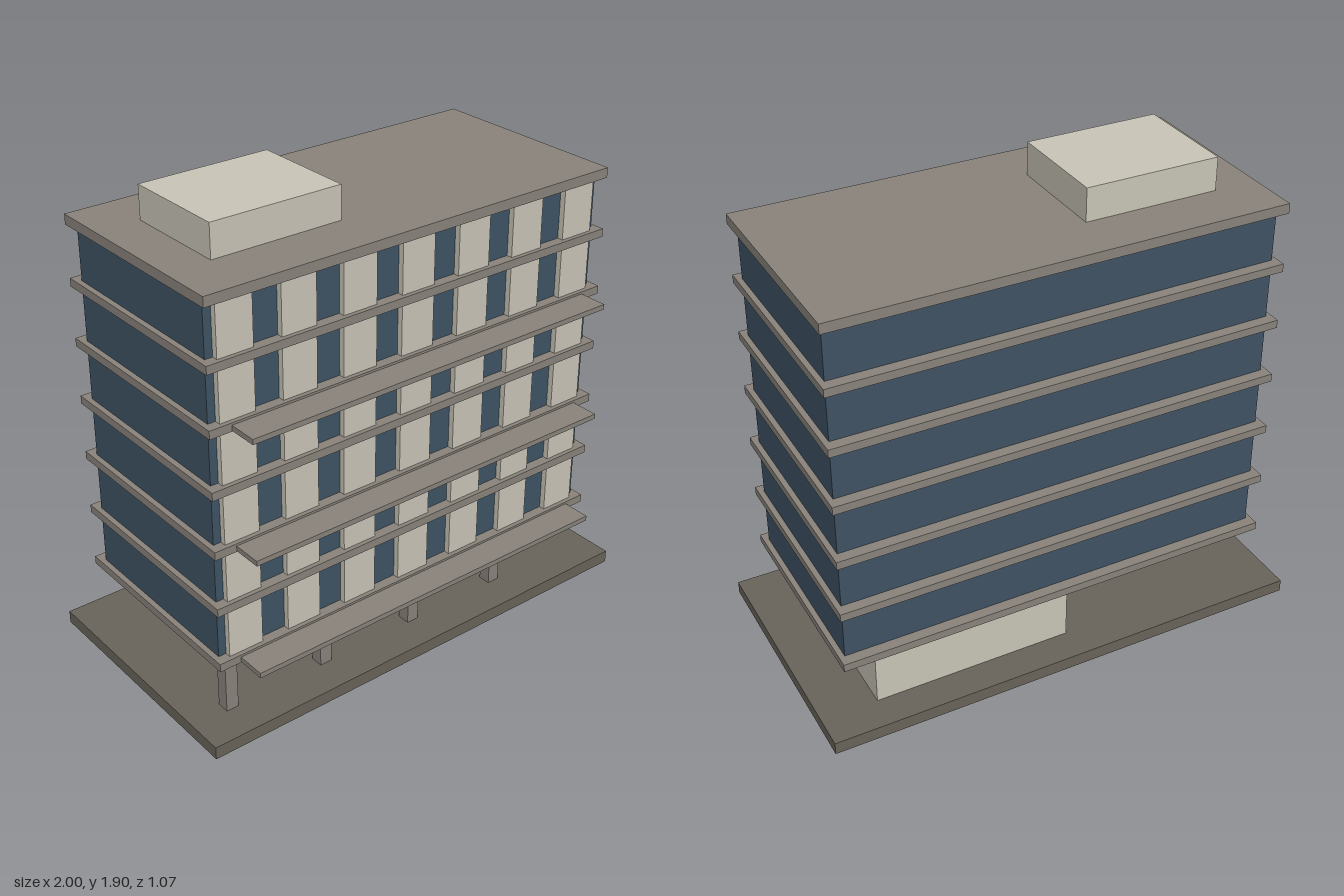
import * as THREE from 'three';

const paint = (color) => new THREE.MeshStandardMaterial({ color });

export function createModel() {
  const building = new THREE.Group();
  building.name = 'officeBlock';
  const concrete = paint(0x8a847c);
  const paving = paint(0x69645b);
  const plaster = paint(0xcac6b8);
  const glass = paint(0x3f5364);

  // Box given by its extents along each axis
  function block(name, material, [x0, x1], [y0, y1], [z0, z1]) {
    const mesh = new THREE.Mesh(new THREE.BoxGeometry(x1 - x0, y1 - y0, z1 - z0), material);
    mesh.position.set((x0 + x1) / 2, (y0 + y1) / 2, (z0 + z1) / 2);
    mesh.name = name;
    building.add(mesh);
  }

  const floors = 6, firstSlab = 0.295, storey = 0.2395, slab = 0.033;
  const roofBottom = firstSlab + floors * storey, roofTop = 1.772;

  // Ground level: plinth, recessed lobby and front columns
  block('plinth', paving, [-1, 1], [0, 0.052], [-0.537, 0.503]);
  block('lobby', plaster, [-0.05, 0.77], [0.052, firstSlab], [-0.403, 0.2]);
  for (let i = 0; i < 4; i++) {
    const x = -0.828 + i * 0.435;
    block('column', concrete, [x - 0.026, x + 0.026], [0.052, firstSlab], [0.31, 0.362]);
  }

  // Storeys: floor slab, glazed volume, facade panels, a balcony on every second one
  for (let f = 0; f < floors; f++) {
    const y = firstSlab + f * storey;
    const walls = [y + slab, y + storey];
    block('floorSlab', concrete, [-0.91, 0.91], [y, y + slab], [-0.448, 0.418]);
    block('glazing', glass, [-0.888, 0.888], walls, [-0.403, 0.376]);
    for (let i = -3; i <= 3; i++) {
      const x = i * 0.261;
      block('facadePanel', plaster, [x - 0.073, x + 0.073], walls, [0.376, 0.4]);
    }
    if (f % 2 === 0) block('balcony', concrete, [-0.82, 0.82], [y + 0.003, y + 0.024], [0.418, 0.537]);
  }

  // Roof slab and rooftop plant room
  block('roofSlab', concrete, [-0.91, 0.91], [roofBottom, roofTop], [-0.448, 0.418]);
  block('plantRoom', plaster, [-0.732, -0.187], [roofTop, 1.905], [-0.235, 0.2]);

  return building;
}
